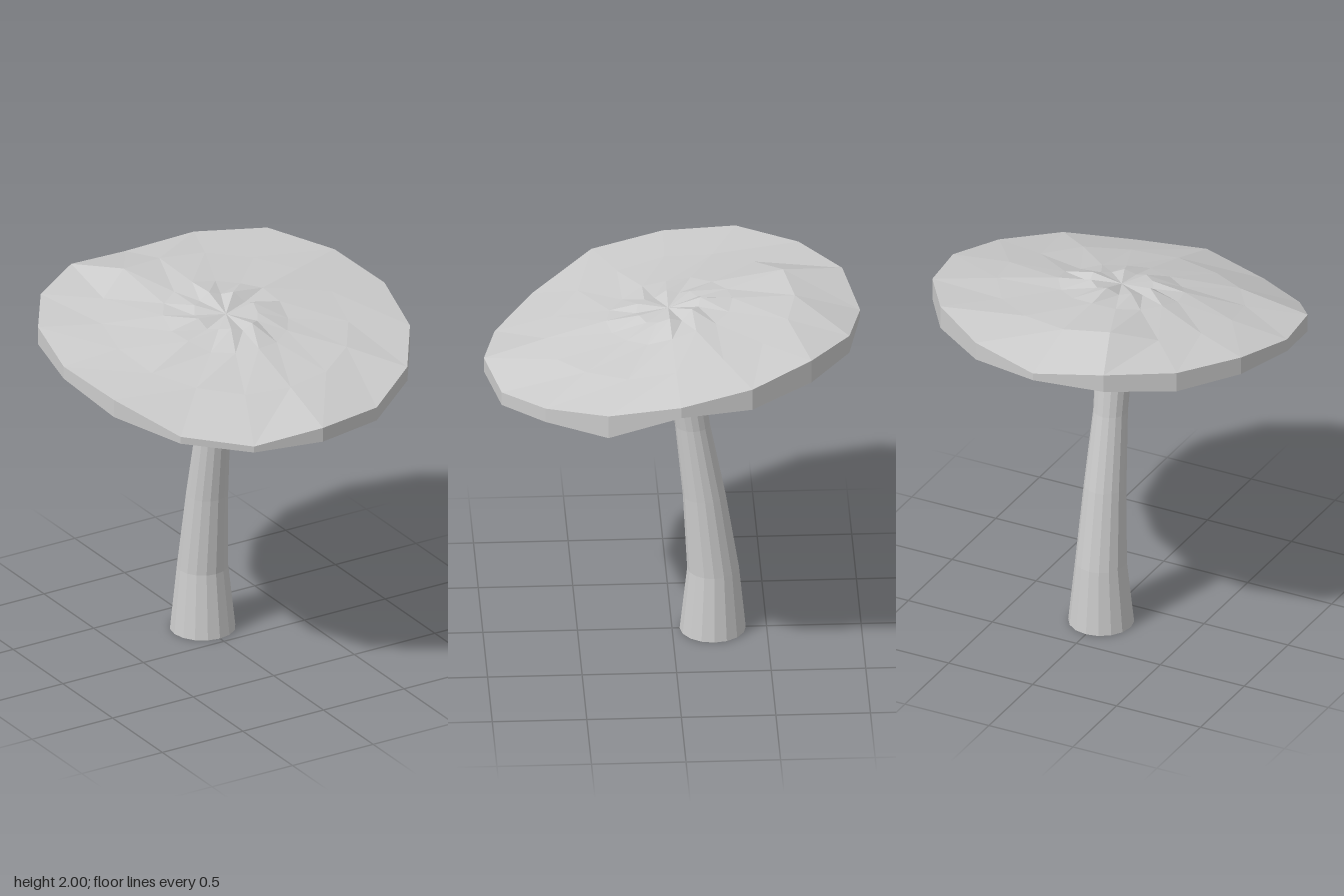
import * as THREE from 'three';

const material = new THREE.MeshStandardMaterial({ color: 0xcccccc, flatShading: true });
const SIDES = 16;

// Ring of points at one radius; heights holds one y per side, starting at +x and turning to +z
const ring = (radius, heights, cz = 0) => heights.map((y, i) => {
  const a = (i / SIDES) * Math.PI * 2;
  return [radius * Math.cos(a), y, cz + radius * Math.sin(a)];
});

// Skin a stack of rings, closing both ends with a fan to a centre point
function skin(rings, startCentre, endCentre) {
  const points = [startCentre, ...rings.flat(), endCentre];
  const last = points.length - 1;
  const index = [];
  const at = (r, i) => 1 + r * SIDES + (i % SIDES);
  for (let i = 0; i < SIDES; i++) {
    index.push(0, at(0, i + 1), at(0, i));
    for (let r = 0; r < rings.length - 1; r++) {
      const a = at(r, i), b = at(r, i + 1), c = at(r + 1, i + 1), d = at(r + 1, i);
      index.push(a, b, c, a, c, d);
    }
    index.push(last, at(rings.length - 1, i), at(rings.length - 1, i + 1));
  }
  const geometry = new THREE.BufferGeometry();
  geometry.setAttribute('position', new THREE.Float32BufferAttribute(points.flat(), 3));
  geometry.setIndex(index);
  const flat = geometry.toNonIndexed();
  flat.computeVertexNormals();
  return flat;
}

function createCap() {
  const rimTop = [1.85, 1.77, 1.71, 1.64, 1.645, 1.6, 1.65, 1.79, 1.85, 1.91, 1.92, 1.93, 1.88, 1.93, 1.96, 1.91];
  const rimBottom = [1.79, 1.64, 1.63, 1.565, 1.565, 1.565, 1.61, 1.69, 1.78, 1.81, 1.81, 1.83, 1.84, 1.83, 1.83, 1.79];
  // Inner rings tilt down to the front, with small bumps in hundredths
  const tilted = (radius, base, slope, bumps) =>
    bumps.map((b, i) => base - slope * radius * Math.sin((i / SIDES) * Math.PI * 2) + b / 100);
  const outer = tilted(0.66, 1.865, 0.17, [2, 0, 1, 0, 0, -1, 0, 0, 1, 0, -1, 3, 0, 0, 0, 2]);
  const middle = tilted(0.335, 1.9, 0.18, [1, -1, 0, 0, 1, 0, -1, 1, 0, 1, 0, 0, 1, 0, 0, 2]);
  const inner = tilted(0.17, 1.925, 0.14, [2, 0, -1, 1, -1, 1, 0, -2, 1, -1, 1, 0, 3, 1, 3, -1]);
  const lower = (heights, d) => heights.map((y) => y - d);
  const rings = [
    ring(0.17, lower(inner, 0.12), 0.02), ring(0.335, lower(middle, 0.11), 0.015),
    ring(0.66, lower(outer, 0.1), 0.01), ring(0.995, rimBottom),
    ring(0.995, rimTop), ring(0.66, outer, 0.01),
    ring(0.335, middle, 0.015), ring(0.17, inner, 0.02),
  ];
  // Rings run from the underside out around the rim and back over the top
  const geometry = skin(rings.map((r) => r.slice().reverse()), [0, 1.82, 0.02], [0, 1.92, 0.02]);
  const cap = new THREE.Mesh(geometry, material);
  cap.name = 'cap';
  return cap;
}

function createStem() {
  // Height, radius and z of the centre for each section of the bent stalk
  const sections = [
    [0, 0.175, -0.215], [0.36, 0.137, -0.217], [0.8, 0.113, -0.17],
    [1.22, 0.092, -0.108], [1.58, 0.1, -0.053], [1.83, 0.1, 0.005],
  ];
  const rings = sections.map(([y, radius, z]) => ring(radius, Array(SIDES).fill(y), z).reverse());
  const stem = new THREE.Mesh(skin(rings, [0, 0, -0.215], [0, 1.83, 0.005]), material);
  stem.name = 'stem';
  return stem;
}

export function createModel() {
  const mushroom = new THREE.Group();
  mushroom.name = 'mushroom';
  mushroom.add(createStem(), createCap());
  return mushroom;
}
